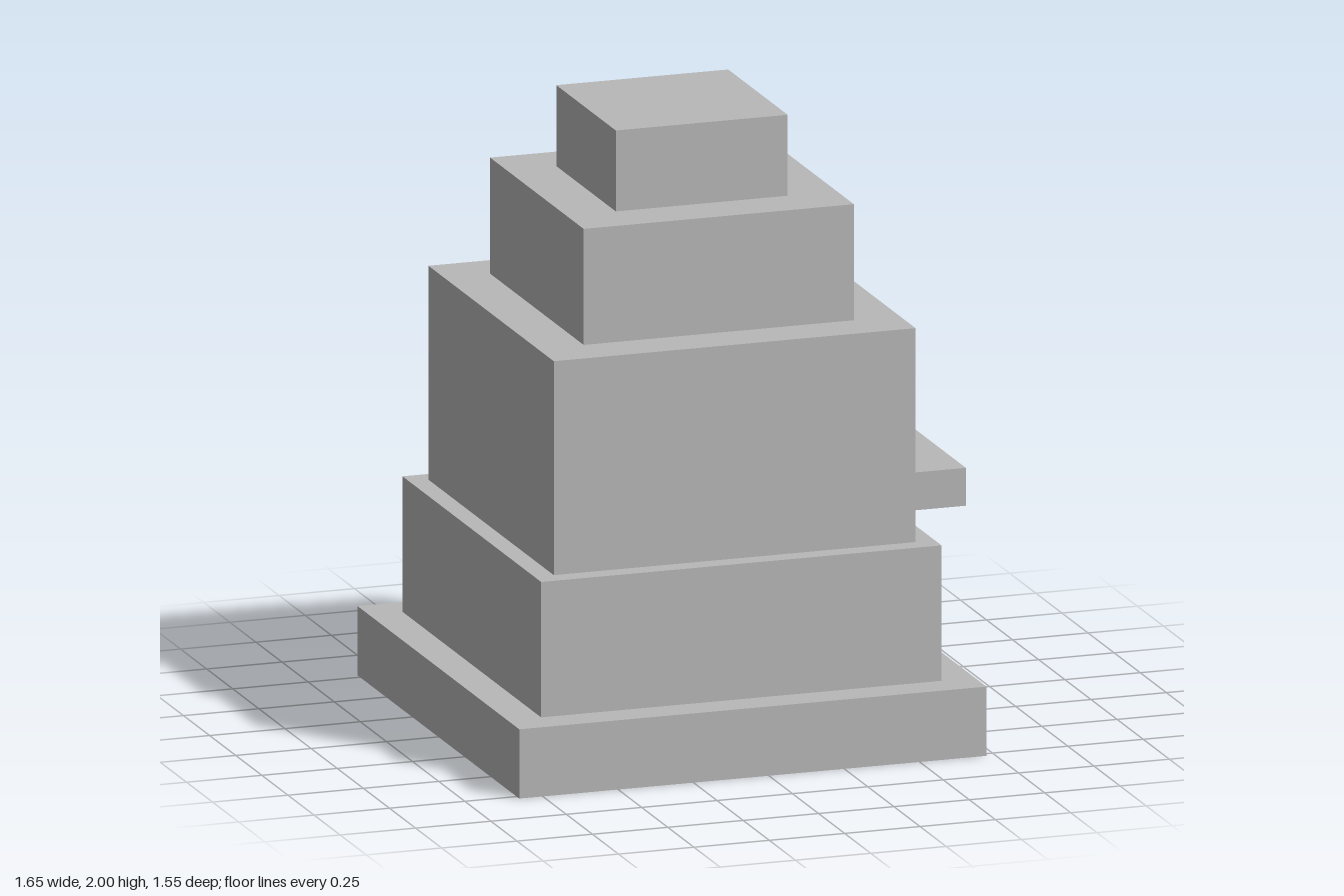
import * as THREE from 'three';

const stone = new THREE.MeshStandardMaterial({ name: 'grey stone', color: 0xb8b8b8 });

// Box given by its lower and upper limits along x and y, and its depth centred on z = 0
function block(name, x0, x1, y0, y1, depth) {
  const mesh = new THREE.Mesh(new THREE.BoxGeometry(x1 - x0, y1 - y0, depth), stone);
  mesh.name = name;
  mesh.position.set((x0 + x1) / 2, (y0 + y1) / 2, 0);
  return mesh;
}

export function createModel() {
  const model = new THREE.Group();
  model.name = 'steppedTower';

  // Square tiers, stacked from the ground: name, width, top height
  const axisX = -0.053;
  const tiers = [
    ['plinth', 1.55, 0.225],
    ['lowerTier', 1.328, 0.665],
    ['mainTier', 1.2, 1.36],
    ['upperTier', 0.896, 1.737],
    ['topBlock', 0.57, 2],
  ];
  let bottom = 0;
  for (const [name, width, top] of tiers) {
    model.add(block(name, axisX - width / 2, axisX + width / 2, bottom, top, width));
    bottom = top;
  }

  // Door slab and the balcony below it, on the left wall
  const wallX = axisX + 0.6;
  model.add(block('door', wallX, 0.577, 0.8, 1.197, 0.45));
  model.add(block('balcony', wallX, 0.823, 0.677, 0.8, 0.57));

  return model;
}
